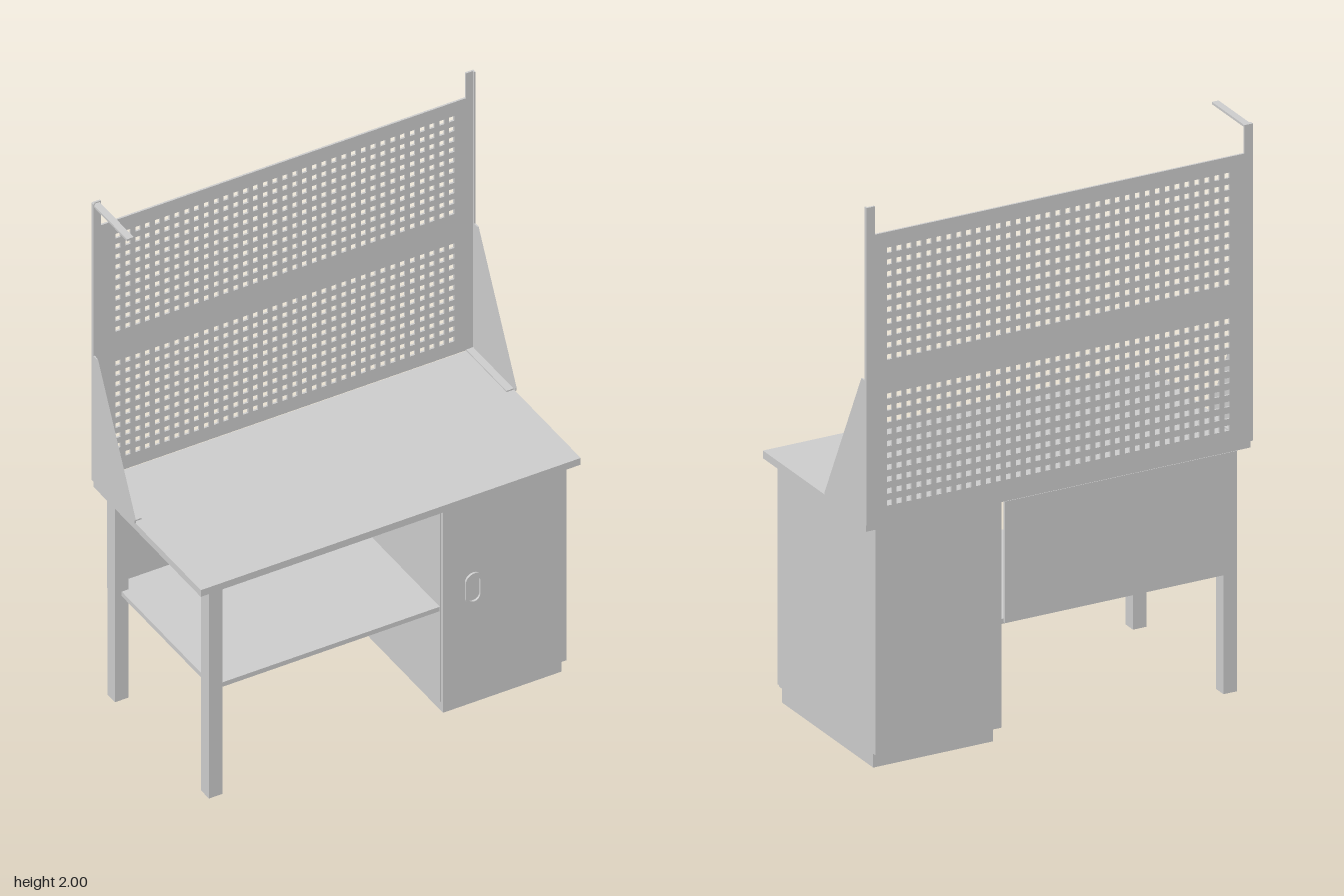
import * as THREE from 'three';

const steel = new THREE.MeshStandardMaterial({ color: 0xcccccc, side: THREE.DoubleSide });

export function createModel() {
  const bench = new THREE.Group();
  bench.name = 'workbench';

  const add = (name, geometry) => {
    const mesh = new THREE.Mesh(geometry, steel);
    mesh.name = name;
    bench.add(mesh);
    return mesh;
  };
  // box given by its limits on each axis
  const box = (name, x0, x1, y0, y1, z0, z1) =>
    add(name, new THREE.BoxGeometry(x1 - x0, y1 - y0, z1 - z0)
      .translate((x0 + x1) / 2, (y0 + y1) / 2, (z0 + z1) / 2));
  const polygon = (points) => new THREE.Shape(points.map(([x, y]) => new THREE.Vector2(x, y)));
  const extrude = (shape, depth, curveSegments = 8) =>
    new THREE.ExtrudeGeometry(shape, { depth, bevelEnabled: false, curveSegments });

  // worktop
  box('worktop', -0.713, 0.713, 0.853, 0.88, -0.34, 0.35);

  // cabinet with door and recessed plinth
  box('cabinetBody', 0.21, 0.677, 0.055, 0.853, -0.337, 0.308);
  box('cabinetDoor', 0.212, 0.675, 0.058, 0.85, 0.309, 0.322);
  box('plinth', 0.225, 0.67, 0, 0.055, -0.31, 0.3);

  // legs
  for (const [name, z] of [['frontLeg', 0.27], ['backLeg', -0.335]]) {
    box(name, -0.665, -0.615, 0, 0.853, z, z + 0.05);
  }

  // shelf and rear modesty panel
  box('shelf', -0.64, 0.21, 0.42, 0.438, -0.335, 0.305);
  box('modestyPanel', -0.662, 0.2, 0.425, 0.853, -0.342, -0.334);

  // perforated back panel, its upright ends rising above the sheet
  const sheet = polygon([
    [-0.717, 0.88], [0.717, 0.88], [0.717, 2], [0.685, 2],
    [0.685, 1.9], [-0.685, 1.9], [-0.685, 2], [-0.717, 2],
  ]);
  const columns = 35, rows = 10, half = 0.0095;
  for (const bottom of [0.943, 1.458]) {
    for (let r = 0; r < rows; r++) {
      for (let c = 0; c < columns; c++) {
        const x = -0.62 + (c * 1.252) / (columns - 1);
        const y = bottom + r * 0.0419;
        sheet.holes.push(polygon([
          [x - half, y - half], [x - half, y + half],
          [x + half, y + half], [x + half, y - half],
        ]));
      }
    }
  }
  add('perforatedPanel', extrude(sheet, 0.007)).position.z = -0.349;

  // folded upright edges, side gussets and their foot flanges
  for (const side of [-1, 1]) {
    const label = side > 0 ? 'left' : 'right';
    const a = side * 0.717, b = side * 0.711, c = side * 0.685;
    box(label + 'UprightEdge', Math.min(a, b), Math.max(a, b), 0.88, 2, -0.349, -0.335);
    // shape x runs along +z after the turn
    const gusset = polygon([
      [-0.349, 0.881], [-0.07, 0.881], [-0.07, 0.893], [-0.315, 1.387], [-0.349, 1.387],
    ]);
    const plate = extrude(gusset, 0.005).rotateY(-Math.PI / 2);
    plate.translate(side > 0 ? 0.717 : -0.712, 0, 0);
    add(label + 'Gusset', plate);
    box(label + 'GussetFlange', Math.min(b, c), Math.max(b, c), 0.88, 0.885, -0.34, -0.08);
  }

  // arm projecting from the top of one upright
  box('topArm', -0.715, -0.69, 1.988, 1.996, -0.345, -0.122);

  // stadium outline for the door handle
  const stadium = (shape, r, h) => {
    const s = h / 2 - r;
    shape.absarc(0, s, r, 0, Math.PI, false);
    shape.absarc(0, -s, r, Math.PI, Math.PI * 2, false);
    shape.closePath();
    return shape;
  };
  const rim = stadium(new THREE.Shape(), 0.031, 0.125);
  rim.holes.push(stadium(new THREE.Path(), 0.023, 0.1));
  add('handleRim', extrude(rim, 0.008)).position.set(0.325, 0.483, 0.322);

  return bench;
}
